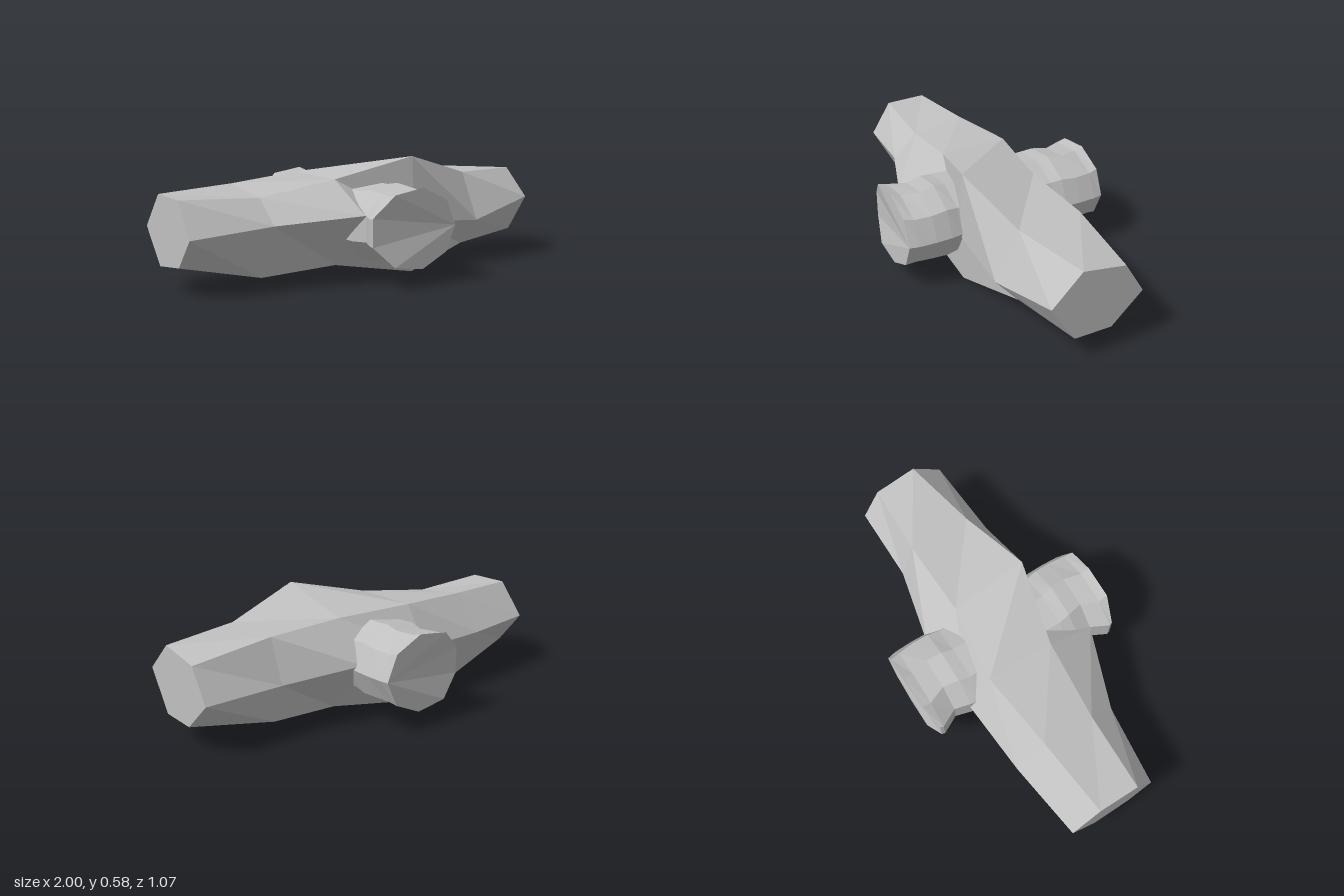
import * as THREE from 'three';

// Skin a list of rings (each an array of [x, y, z]) and close both ends.
function loft(rings) {
  const pos = [];
  const tri = (a, b, c) => pos.push(...a, ...b, ...c);
  const n = rings[0].length;
  for (let i = 0; i < rings.length - 1; i++) {
    for (let k = 0; k < n; k++) {
      const j = (k + 1) % n;
      const a = rings[i][k], b = rings[i][j], c = rings[i + 1][k], d = rings[i + 1][j];
      tri(a, c, b);
      tri(b, c, d);
    }
  }
  const first = rings[0], last = rings[rings.length - 1];
  for (let k = 1; k < n - 1; k++) {
    tri(first[0], first[k], first[k + 1]);
    tri(last[0], last[k + 1], last[k]);
  }
  const geo = new THREE.BufferGeometry();
  geo.setAttribute('position', new THREE.Float32BufferAttribute(pos, 3));
  geo.computeVertexNormals();
  return geo;
}

export function createModel() {
  const stone = new THREE.MeshStandardMaterial({ color: 0xc0c0c0, flatShading: true });
  stone.name = 'stone grey';
  const group = new THREE.Group();
  group.name = 'rock';

  // Six-sided irregular body along x: [y, z] from the front corner over the top to the back.
  const sections = [
    [-1.0, [[.285, .215], [.45, .11], [.455, -.10], [.29, -.24], [.12, -.10], [.145, .10]]],
    [-0.6, [[.315, .255], [.43, .125], [.47, -.145], [.29, -.295], [.02, -.15], [.055, .13]]],
    [-0.2, [[.345, .40], [.49, .15], [.497, -.197], [.30, -.325], [.005, -.275], [.07, .15]]],
    [0.2, [[.26, .26], [.587, .243], [.49, -.145], [.30, -.328], [.02, -.10], [.005, .243]]],
    [0.6, [[.235, .283], [.475, .165], [.483, -.155], [.27, -.235], [.07, -.165], [.095, .16]]],
    [1.0, [[.32, .235], [.467, .085], [.43, -.135], [.27, -.235], [.125, -.08], [.127, .11]]],
  ];
  const body = new THREE.Mesh(loft(sections.map(([x, s]) => s.map(([y, z]) => [x, y, z]))), stone);
  body.name = 'body';
  group.add(body);

  // Nine-sided cross bar along z, mirrored about the middle: [z, centre x, radius x, radius y].
  const half = [
    [.537, -.01, .24, .195],
    [.49, -.008, .248, .181],
    [.40, .018, .226, .183],
    [.32, .006, .236, .194],
    [.26, -.004, .237, .183],
    [.10, 0, .23, .18],
  ];
  const bar = [...half, ...half.map(([z, ...r]) => [-z, ...r]).reverse()];
  const rings = bar.map(([z, cx, rx, ry], i) => Array.from({ length: 9 }, (_, k) => {
    const a = (k / 9) * Math.PI * 2;
    // The outer corners on the right side are worn back slightly.
    const end = i === 0 || i === bar.length - 1;
    const worn = end && (k === 4 || k === 5) ? Math.sign(z) * .03 : 0;
    return [cx + rx * Math.cos(a), .282 + ry * Math.sin(a), z - worn];
  }));
  const crossBar = new THREE.Mesh(loft(rings), stone);
  crossBar.name = 'crossBar';
  group.add(crossBar);
  return group;
}
